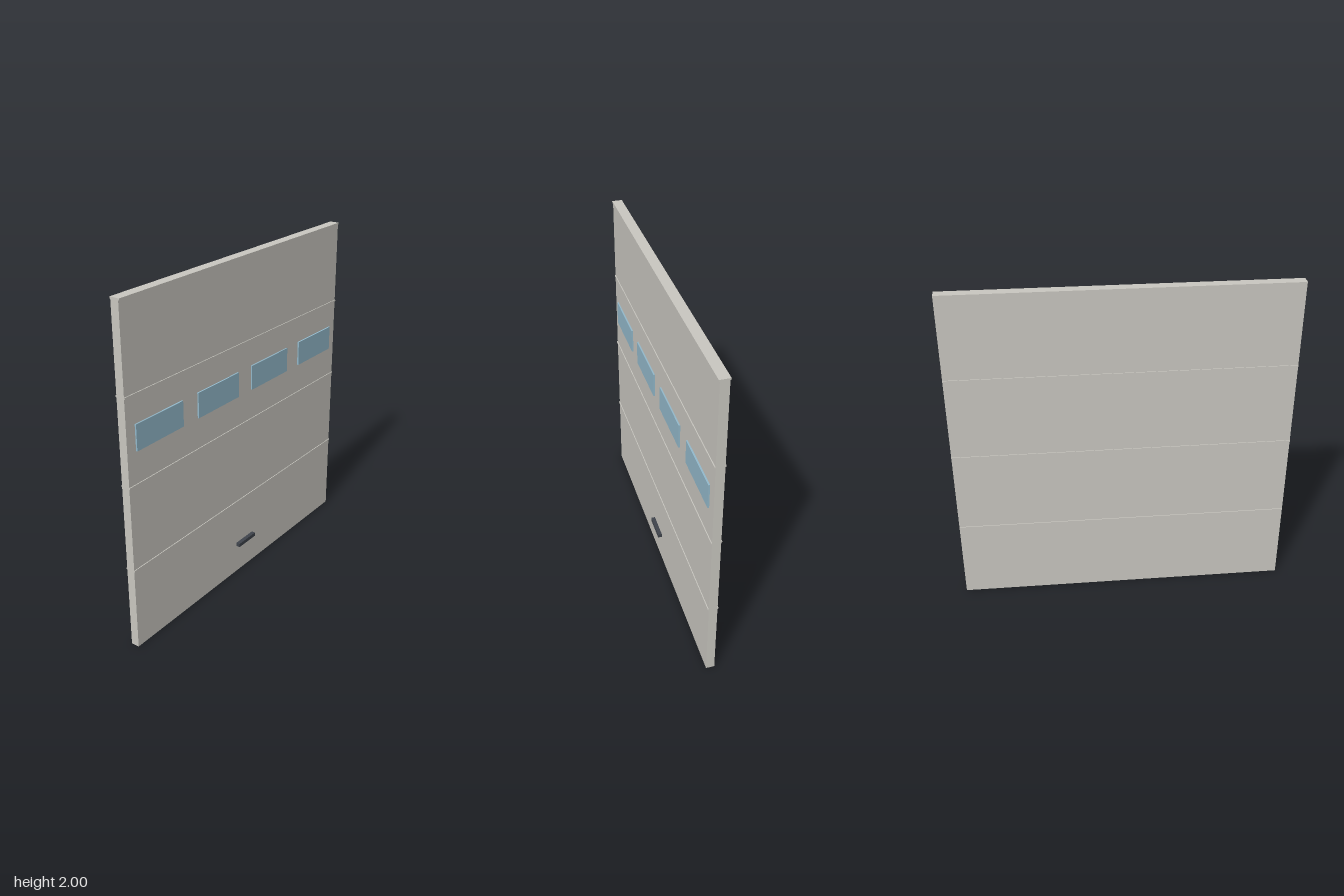
import * as THREE from 'three';

export function createModel() {
  const door = new THREE.Group();
  door.name = 'sectionalDoor';

  const material = (name, color) => {
    const m = new THREE.MeshStandardMaterial({ color });
    m.name = name;
    return m;
  };
  const panelPaint = material('warm grey panel', 0xc9c7c0);
  const glass = material('pale blue glass', 0x93b9cb);
  const darkMetal = material('dark metal', 0x3f444c);

  // Box given by its size, centre x, bottom y and back z
  const box = (name, mat, [w, h, d], x, bottom, back) => {
    const mesh = new THREE.Mesh(new THREE.BoxGeometry(w, h, d), mat);
    mesh.name = name;
    mesh.position.set(x, bottom + h / 2, back + d / 2);
    door.add(mesh);
  };

  const sections = 4;
  const pitch = 0.5;
  const ribHeight = 0.01;
  const back = -0.034;
  const thickness = 0.05;

  // Stacked sections, each topped by a slightly thicker seam rib
  for (let i = 0; i < sections; i++) {
    const y = i * pitch;
    box(`section${i + 1}`, panelPaint, [2, pitch - ribHeight, thickness], 0, y, back);
    box(`seamRib${i + 1}`, panelPaint, [2, ribHeight, thickness + 0.01], 0, y + pitch - ribHeight, back - 0.005);
  }

  // Row of windows on the third section
  const front = back + thickness;
  [-0.75, -0.25, 0.25, 0.75].forEach((x, i) =>
    box(`window${i + 1}`, glass, [0.37, 0.15, 0.009], x, 1.185, front));

  // Lift handle
  box('handle', darkMetal, [0.165, 0.023, 0.024], 0, 0.182, front);

  return door;
}
